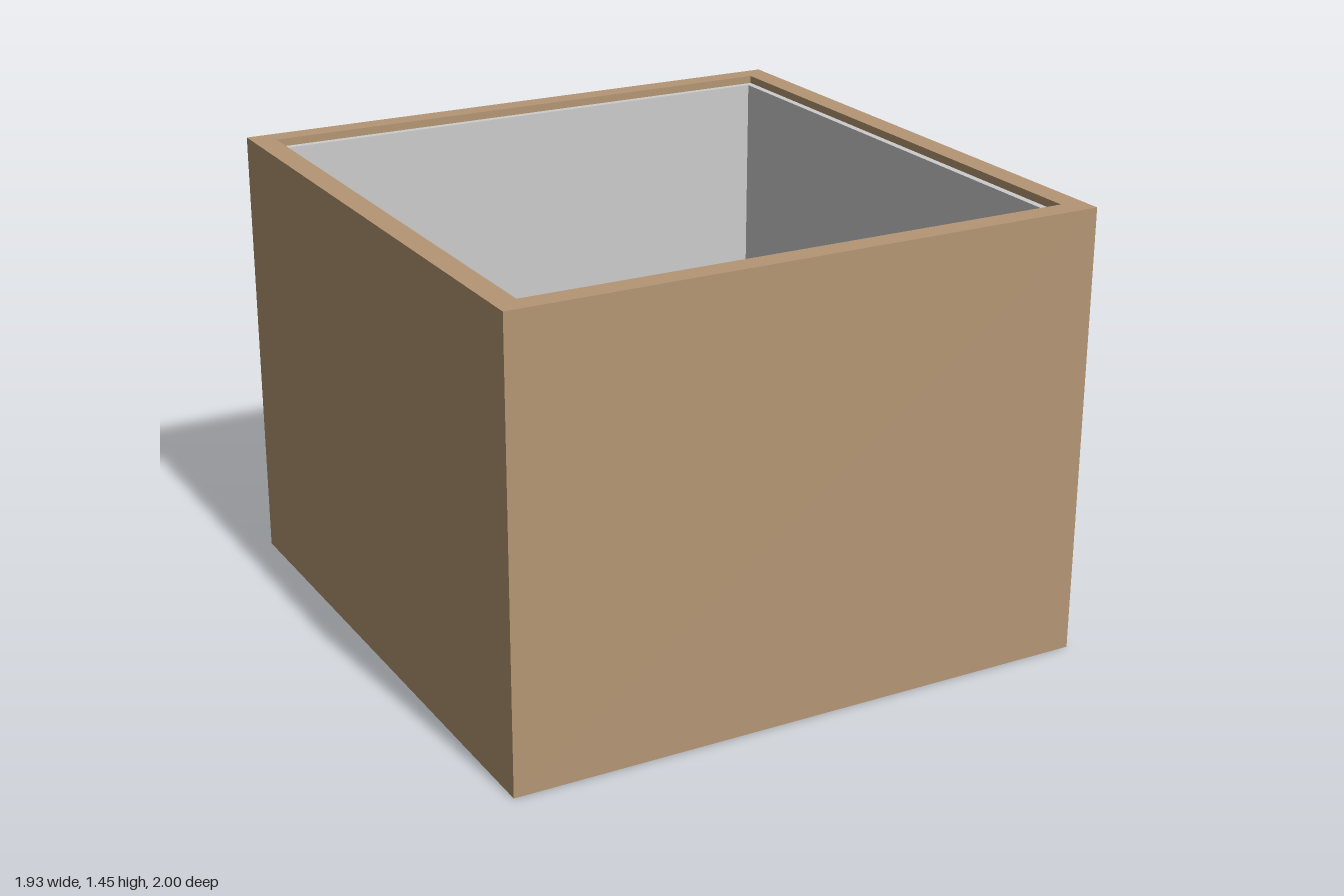
import * as THREE from 'three';

const WALL = 0xb49674, FLOOR = 0xcca47d, LINING = 0xcccccc, TEAL = 0x81b3b3, SHELF = 0x8f5c54, DARK = 0x555555;

const material = (color) => new THREE.MeshStandardMaterial({ color });

// Box given by its lower and upper bounds
function box(name, color, [x0, x1], [y0, y1], [z0, z1]) {
  const mesh = new THREE.Mesh(new THREE.BoxGeometry(x1 - x0, y1 - y0, z1 - z0), material(color));
  mesh.position.set((x0 + x1) / 2, (y0 + y1) / 2, (z0 + z1) / 2);
  mesh.name = name;
  return mesh;
}

// Flat triangle facing +x, painted on the side wall
function tree(color, y, z, size) {
  const shape = new THREE.Shape();
  shape.moveTo(-size * 0.4, -size / 2);
  shape.lineTo(size * 0.4, -size / 2);
  shape.lineTo(0, size / 2);
  const mesh = new THREE.Mesh(new THREE.ShapeGeometry(shape), material(color));
  mesh.rotation.y = Math.PI / 2;
  mesh.position.set(-0.866, y, z);
  mesh.name = 'wallTree';
  return mesh;
}

export function createModel() {
  const room = new THREE.Group();
  room.name = 'room';

  // Floor slab and the four thick outer walls
  const wallY = [0.001, 1.445], liningY = [0.07, 1.42];
  room.add(
    box('floor', FLOOR, [-0.963, 0.963], [0, 0.07], [-0.928, 0.998]),
    box('frontWall', WALL, [-0.965, 0.965], wallY, [0.925, 1]),
    box('backWall', WALL, [-0.965, 0.965], wallY, [-0.93, -0.86]),
  );
  for (const s of [-1, 1]) {
    const span = (a, b) => [s * a, s * b].sort((p, q) => p - q);
    room.add(
      box('sideWall', WALL, span(0.89, 0.965), wallY, [-0.86, 0.925]),
      box('sideLining', LINING, span(0.867, 0.89), liningY, [-0.86, 0.925]),
    );
  }

  // Inner panels at the back and front
  room.add(
    box('backLining', LINING, [-0.867, 0.867], liningY, [-0.86, -0.836]),
    box('frontPanel', TEAL, [-0.867, 0.867], liningY, [0.9, 0.925]),
  );

  // Shelf passing through the back wall
  room.add(box('shelf', SHELF, [-0.24, 0.66], [0.475, 0.5], [-1, -0.76]));

  // Grid of little trees on one side wall, with smaller ones in between
  const trees = new THREE.Group();
  trees.name = 'wallTrees';
  for (let row = 0; row < 5; row++) {
    for (let col = 0; col < 6; col++) {
      const y = 1.34 - row * 0.29, z = -0.72 + col * 0.295;
      const dark = row % 2 === 0 || col % 3 === 1;
      trees.add(tree(dark ? DARK : TEAL, y, z, 0.06));
      if (col < 5 && row < 4) trees.add(tree(dark ? TEAL : DARK, y - 0.12, z + 0.13, 0.03));
    }
  }
  room.add(trees);
  return room;
}
